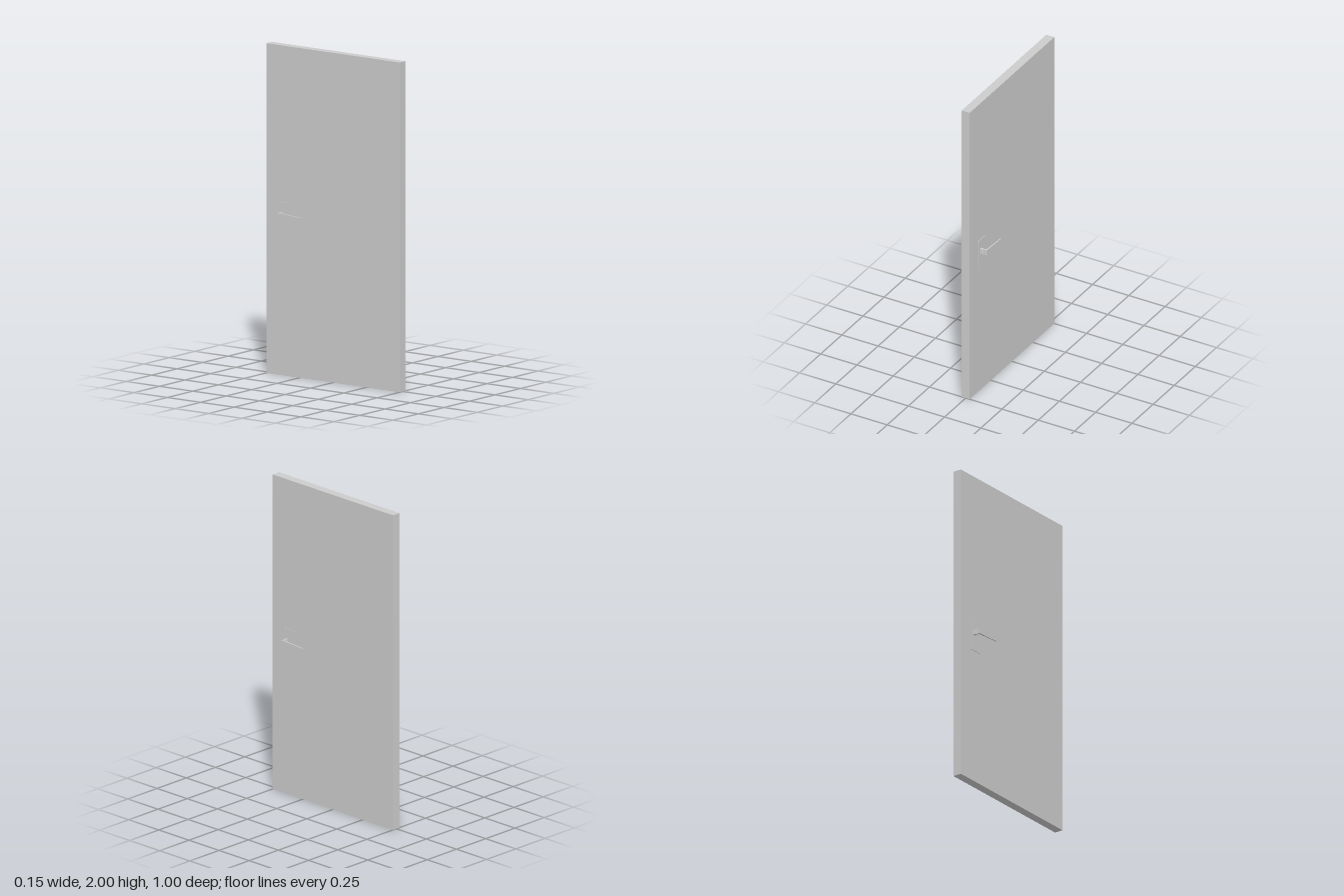
import * as THREE from 'three';

const material = new THREE.MeshStandardMaterial({ color: 0xcccccc, flatShading: true });

function addBox(parent, name, size, position) {
  const mesh = new THREE.Mesh(new THREE.BoxGeometry(...size), material);
  mesh.name = name;
  mesh.position.set(...position);
  parent.add(mesh);
}

// L-shaped lever: plan outline (x, z) extruded upwards, its height shrinking towards the tip
function leverGeometry() {
  const outline = [
    [0.028, 0.367], [0.055, 0.3715], [0.064, 0.37], [0.0665, 0.36],
    [0.0675, 0.207], [0.0735, 0.207], [0.0745, 0.379], [0.055, 0.3795], [0.028, 0.384],
  ].map(([x, z]) => new THREE.Vector2(x, z));
  const geometry = new THREE.ExtrudeGeometry(new THREE.Shape(outline), { depth: 0.034, bevelEnabled: false });
  geometry.translate(0, 0, -0.017);
  geometry.rotateX(Math.PI / 2);
  const p = geometry.attributes.position;
  for (let i = 0; i < p.count; i++) {
    const t = THREE.MathUtils.clamp((0.37 - p.getZ(i)) / 0.163, 0, 1);
    p.setY(i, p.getY(i) * (1 - 0.55 * t));
  }
  geometry.computeVertexNormals();
  return geometry;
}

export function createModel() {
  const door = new THREE.Group();
  door.name = 'door';

  // Plain slab
  addBox(door, 'doorPanel', [0.055, 2, 1], [0, 1, 0]);

  // One handle per face, related by a half turn about the vertical axis
  const leverShape = leverGeometry();
  for (const [name, angle] of [['leftHandle', 0], ['rightHandle', Math.PI]]) {
    const handle = new THREE.Group();
    handle.name = name;
    addBox(handle, 'backPlate', [0.003, 0.195, 0.086], [0.029, 0.953, 0.358]);
    const lever = new THREE.Mesh(leverShape, material);
    lever.name = 'lever';
    lever.position.y = 0.973;
    handle.add(lever);
    handle.rotation.y = angle;
    door.add(handle);
  }
  return door;
}
